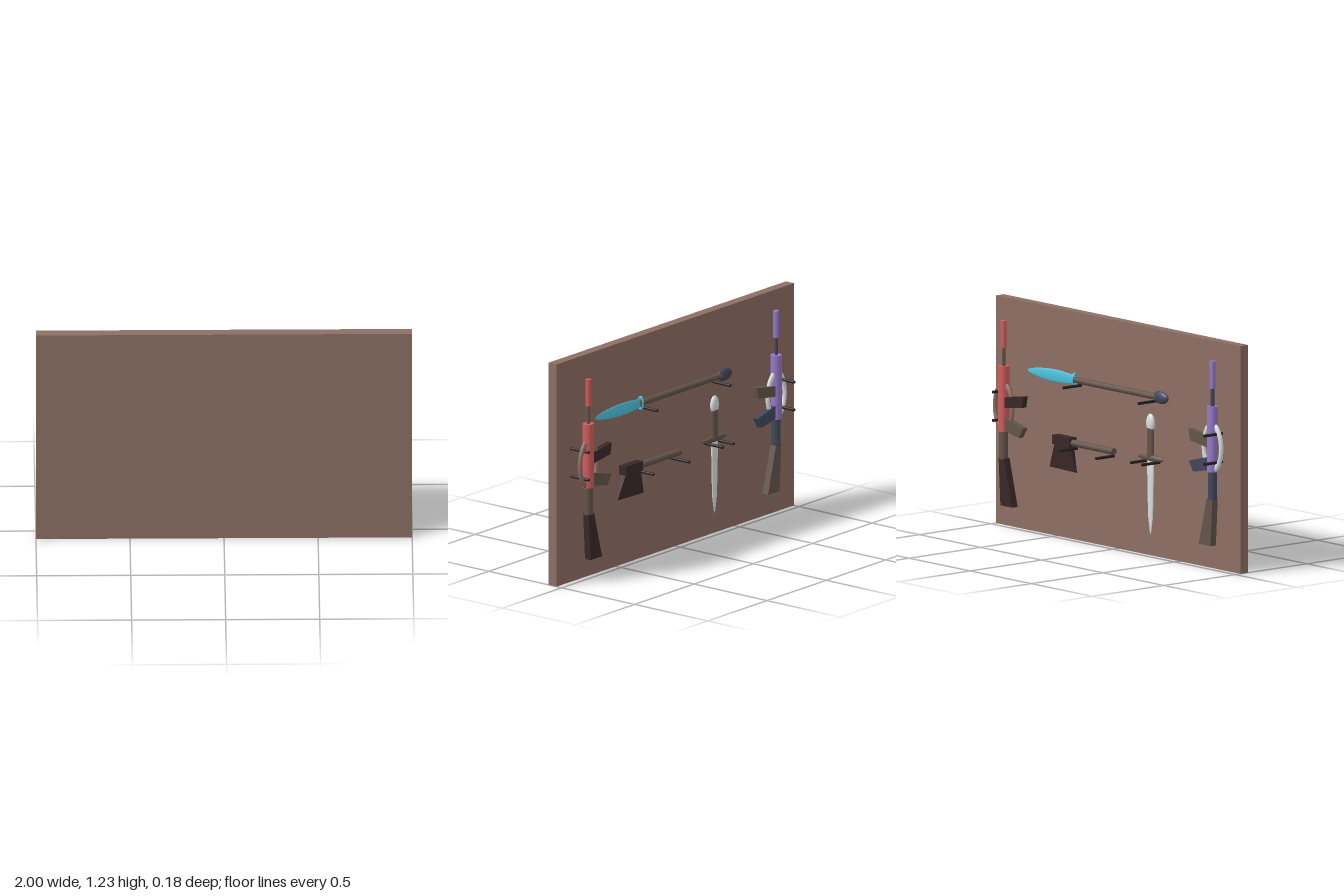
import * as THREE from 'three';

const mat = (name, color) => {
  const m = new THREE.MeshStandardMaterial({ color });
  m.name = name;
  return m;
};

export function createModel() {
  const model = new THREE.Group();
  const boardBrown = mat('boardBrown', 0x8d6e63);
  const red = mat('red', 0xd05c5c);
  const purple = mat('purple', 0x9579cb);
  const cyan = mat('cyan', 0x4dc4de);
  const silver = mat('silver', 0xdadede);
  const darkBrown = mat('darkBrown', 0x382827);
  const woodBrown = mat('woodBrown', 0x62544a);
  const darkBlue = mat('darkBlue', 0x42465a);
  const black = mat('black', 0x272020);

  const add = (parent, name, geo, material, x = 0, y = 0, z = 0) => {
    const mesh = new THREE.Mesh(geo, material);
    mesh.name = name;
    mesh.position.set(x, y, z);
    parent.add(mesh);
    return mesh;
  };
  const group = (name, x, y, z) => {
    const g = new THREE.Group();
    g.name = name;
    g.position.set(x, y, z);
    model.add(g);
    return g;
  };
  // Upright rod between two heights
  const rod = (r, y0, y1, r2 = r) =>
    new THREE.CylinderGeometry(r2, r, y1 - y0, 24).translate(0, (y0 + y1) / 2, 0);
  // Flat outline in x and y, thickened evenly about z = 0
  const slab = (pts, depth) =>
    new THREE.ExtrudeGeometry(new THREE.Shape(pts.map(p => new THREE.Vector2(...p))),
      { depth, bevelEnabled: false }).translate(0, 0, -depth / 2);
  // Turned profile flattened in z
  const flatLathe = (pts, zScale) =>
    new THREE.LatheGeometry(pts.map(p => new THREE.Vector2(...p)), 24).scale(1, 1, zScale);
  const ellipsoid = (x, y, z) => new THREE.SphereGeometry(1, 24, 16).scale(x, y, z);

  // Board
  add(model, 'board', new THREE.BoxGeometry(2, 1.23, 0.055), boardBrown, 0, 0.615, 0.0625);

  // Rifles hang upright; dir points the magazine and grip toward the middle
  function rifle(name, x, z, dir, c) {
    const g = group(name, x, 0, z);
    const side = (pts, depth) => slab(pts.map(([px, py]) => [px * dir, py]), depth);
    add(g, 'suppressor', rod(0.016, 0.98, 1.127), c.body);
    add(g, 'barrel', rod(0.01, 0.87, 0.985), c.barrel);
    add(g, 'receiver', rod(0.03, 0.53, 0.883), c.body);
    add(g, 'stockNeck', rod(0.024, 0.38, 0.535), c.barrel);
    add(g, 'stock', side([[-0.02, 0.385], [0.025, 0.385], [0.092, 0.13], [-0.005, 0.13]], 0.038), c.stock);
    add(g, 'magazine', side([[0, 0.712], [0.178, 0.74], [0.166, 0.678], [0, 0.655]], 0.032), c.magazine);
    add(g, 'grip', side([[0, 0.612], [0.045, 0.602], [0.176, 0.568], [0.142, 0.512], [0, 0.54]], 0.032), c.grip);
    add(g, 'ring', new THREE.TorusGeometry(0.071, 0.012, 12, 40).scale(1, 1.68, 1), c.ring, 0, 0.66, 0);
  }
  rifle('redRifle', 0.837, -0.05, -1, {
    body: red, barrel: woodBrown, stock: darkBrown, magazine: darkBrown, grip: woodBrown, ring: boardBrown,
  });
  rifle('purpleRifle', -0.81, 0.003, 1, {
    body: purple, barrel: darkBlue, stock: woodBrown, magazine: woodBrown, grip: darkBlue, ring: silver,
  });

  // Spear, built along y and laid on its side with the tip toward +x
  const spear = group('spear', 0, 0.87, 0.008);
  spear.rotation.z = -Math.PI / 2;
  add(spear, 'spearShaft', rod(0.017, -0.36, 0.335), woodBrown);
  add(spear, 'spearPommel', ellipsoid(0.034, 0.06, 0.019), darkBlue, 0, -0.38, 0);
  add(spear, 'spearCollar',
    new THREE.TorusGeometry(0.032, 0.007, 10, 32).rotateX(Math.PI / 2).scale(1, 1, 0.55), cyan, 0, 0.325, 0);
  add(spear, 'spearBlade', flatLathe([[0, 0.32], [0.022, 0.321], [0.029, 0.38], [0.034, 0.45],
    [0.034, 0.52], [0.028, 0.6], [0.017, 0.67], [0.008, 0.7], [0, 0.71]], 0.2), cyan);

  // Axe
  const axe = group('axe', 0, 0, 0.006);
  add(axe, 'axeHandle', rod(0.018, 0, 0.36).rotateZ(-Math.PI / 2), woodBrown, 0, 0.527, 0);
  add(axe, 'axeHead', new THREE.BoxGeometry(0.145, 0.05, 0.046), darkBrown, 0.408, 0.53, 0);
  const axeBlade = slab([[0.345, 0.51], [0.47, 0.51], [0.525, 0.375], [0.305, 0.37]], 0.03);
  const p = axeBlade.attributes.position;
  for (let i = 0; i < p.count; i++) {
    if (p.getY(i) < 0.4) p.setZ(i, p.getZ(i) * 0.15); // thin cutting edge
  }
  axeBlade.computeVertexNormals();
  add(axe, 'axeBlade', axeBlade, darkBrown);

  // Dagger, point down
  const dagger = group('dagger', -0.297, 0, 0.008);
  add(dagger, 'daggerPommel', ellipsoid(0.03, 0.052, 0.018), silver, 0, 0.72, 0);
  add(dagger, 'daggerHandle', rod(0.024, 0.53, 0.7).scale(1, 1, 0.65), woodBrown);
  add(dagger, 'daggerGuard', flatLathe([[0, -0.105], [0.008, -0.095], [0.017, -0.04], [0.019, 0],
    [0.017, 0.04], [0.008, 0.095], [0, 0.105]], 0.8).rotateZ(Math.PI / 2), woodBrown, 0, 0.533, 0);
  add(dagger, 'daggerBlade', flatLathe([[0, 0.117], [0.007, 0.14], [0.018, 0.21], [0.022, 0.3],
    [0.025, 0.42], [0.027, 0.53], [0, 0.531]], 0.36), silver);

  // Pegs that carry the weapons
  const pegs = [[0.88, 0.738], [0.88, 0.585], [-0.85, 0.738], [-0.85, 0.585], [0.303, 0.84], [-0.313, 0.84],
    [0.335, 0.495], [0.035, 0.495], [-0.25, 0.512], [-0.34, 0.512]];
  for (const [x, y] of pegs) {
    add(model, 'peg', new THREE.CylinderGeometry(0.008, 0.008, 0.13, 16).rotateX(Math.PI / 2), black, x, y, -0.025);
  }
  return model;
}
